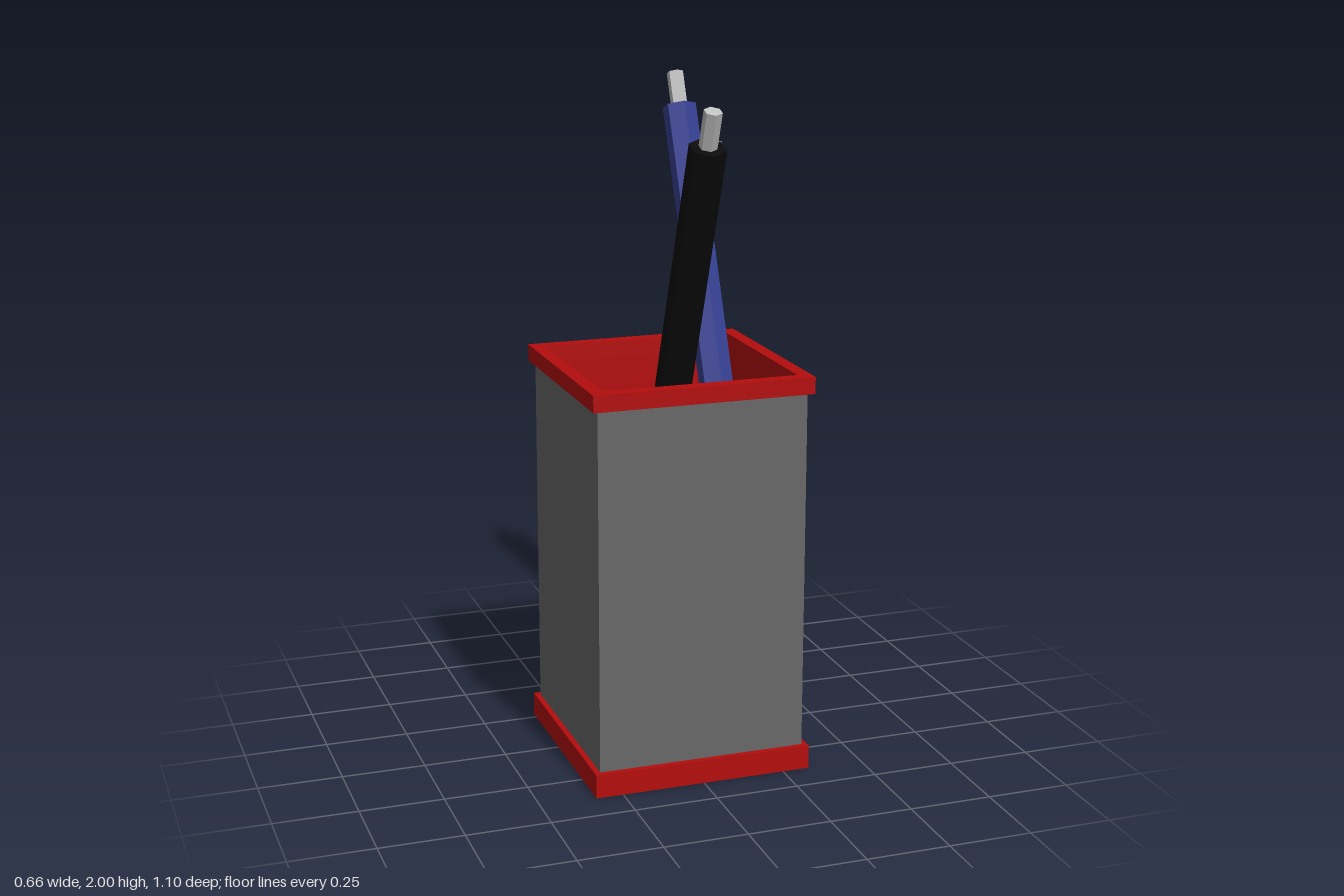
import * as THREE from 'three';

const mat = (name, color) => {
  const m = new THREE.MeshStandardMaterial({ color });
  m.name = name;
  return m;
};

function add(parent, name, geometry, material) {
  const mesh = new THREE.Mesh(geometry, material);
  mesh.name = name;
  parent.add(mesh);
  return mesh;
}

const square = (PathType, r) => new PathType(
  [[-r, -r], [r, -r], [r, r], [-r, r]].map(([x, y]) => new THREE.Vector2(x, y)));

// Square tube standing upright between two heights
function squareTube(outer, inner, y0, y1) {
  const shape = square(THREE.Shape, outer);
  shape.holes.push(square(THREE.Path, inner));
  return new THREE.ExtrudeGeometry(shape, { depth: y1 - y0, bevelEnabled: false })
    .rotateX(-Math.PI / 2).translate(0, y0, 0);
}

// Six-sided section between two heights; corners point along z
function hexSection(rTop, rBottom, yTop, yBottom) {
  return new THREE.CylinderGeometry(rTop, rBottom, yTop - yBottom, 6)
    .toNonIndexed().translate(0, (yTop + yBottom) / 2, 0);
}

// Pen with its origin at the upper end of the barrel
function makePen(name, barrelMat, metalMat) {
  const pen = new THREE.Group();
  pen.name = name;
  const R = 0.053;
  const hex = (part, rT, rB, yT, yB, m) => {
    const g = hexSection(rT, rB, yT, yB);
    g.computeVertexNormals();
    add(pen, part, g, m);
  };
  hex('button', 0.026, 0.026, 0.108, 0, metalMat);
  hex('barrel', R, R, 0, -1.345, barrelMat);
  hex('grip', R, R, -1.345, -1.70, metalMat);
  hex('tip', R, 0.008, -1.70, -1.905, metalMat);

  // Arched clip: x is distance from the pen axis, y runs along the pen
  const profile = [
    [0.044, -0.02], [0.044, -0.12], [0.068, -0.12], [0.073, -0.26],
    [0.048, -0.52], [0.065, -0.52], [0.091, -0.26], [0.087, -0.02],
  ].map(([x, y]) => new THREE.Vector2(x, y));
  const clip = new THREE.ExtrudeGeometry(new THREE.Shape(profile), { depth: 0.048, bevelEnabled: false })
    .translate(0, 0, -0.024).rotateY(Math.PI / 3);
  add(pen, 'clip', clip, metalMat);
  return pen;
}

export function createModel() {
  const red = mat('red plastic', 0xb40d0d);
  const gray = mat('dark gray sleeve', 0x686868);
  const metal = mat('light gray metal', 0xc0c0c0);
  const black = mat('black plastic', 0x0b0b0b);
  const blue = mat('blue plastic', 0x363f90);

  const model = new THREE.Group();
  model.name = 'penHolderWithPens';

  // Square cup
  const cup = new THREE.Group();
  cup.name = 'cup';
  cup.position.z = 0.058;
  model.add(cup);
  add(cup, 'base', new THREE.BoxGeometry(0.664, 0.072, 0.664).translate(0, 0.036, 0), red);
  add(cup, 'sleeve', squareTube(0.315, 0.302, 0.072, 1.155), gray);
  add(cup, 'lining', squareTube(0.302, 0.292, 0.072, 1.155), red);
  add(cup, 'rim', squareTube(0.332, 0.292, 1.155, 1.205), red);

  // Pens leaning in opposite directions
  const blackPen = makePen('blackPen', black, metal);
  blackPen.position.set(-0.037, 1.891, 0.493);
  blackPen.rotation.x = THREE.MathUtils.degToRad(21);
  const bluePen = makePen('bluePen', blue, metal);
  bluePen.position.set(0.222, 1.882, -0.472);
  bluePen.rotation.x = THREE.MathUtils.degToRad(-23);
  model.add(blackPen, bluePen);

  return model;
}
